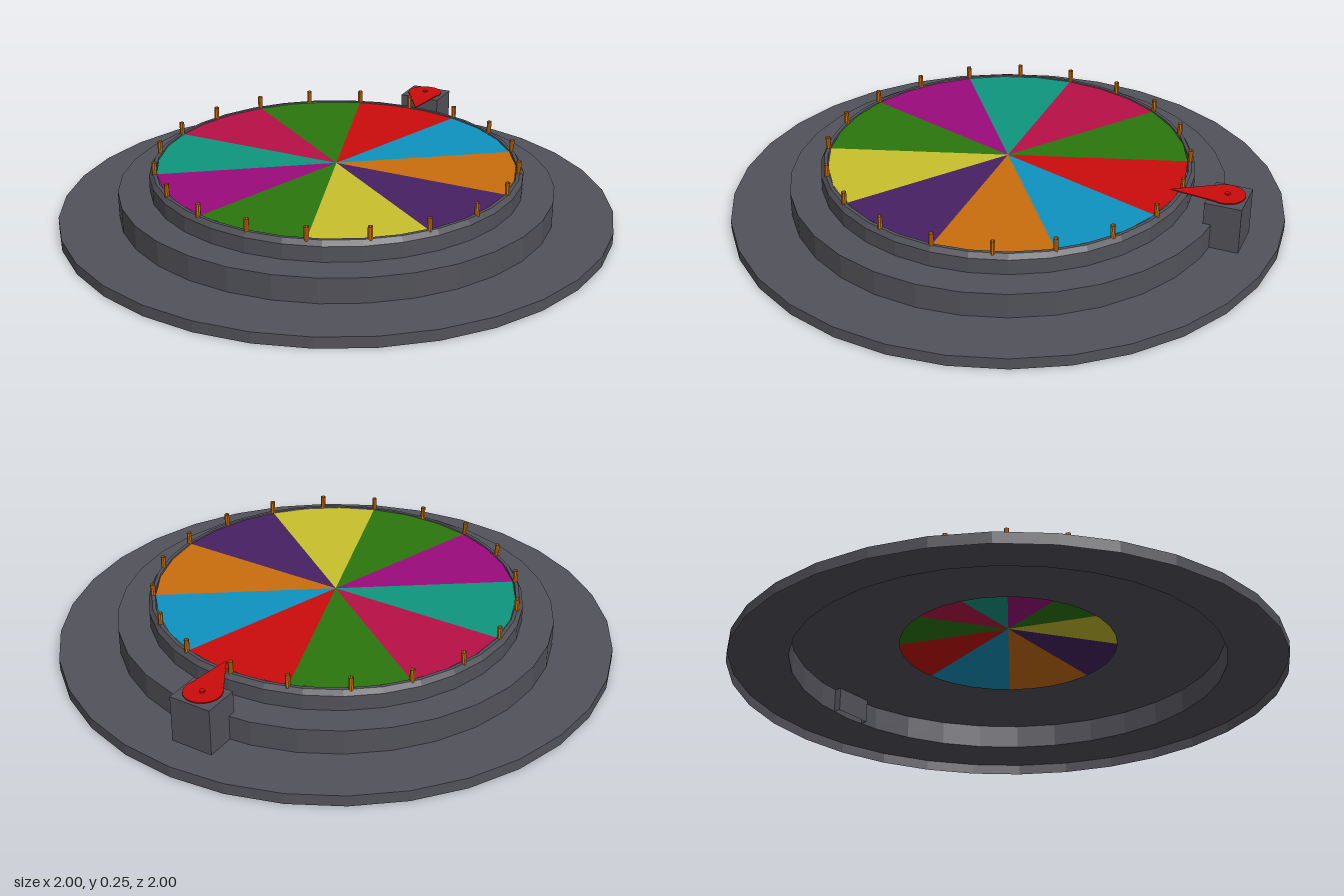
import * as THREE from 'three';

const paint = (name, color) =>
  new THREE.MeshStandardMaterial({ name, color, side: THREE.DoubleSide, flatShading: true });

export function createModel() {
  const model = new THREE.Group();
  model.name = 'prizeWheel';

  const grey = paint('darkGrey', 0x52525a);
  const red = paint('red', 0xcc0c0c);
  const blue = paint('blue', 0x0e92c0);
  const orange = paint('orange', 0xc96e0d);
  const purple = paint('purple', 0x472063);
  const yellow = paint('yellow', 0xc8c02c);
  const green = paint('green', 0x2c760e);
  const magenta = paint('magenta', 0x9b0b7c);
  const teal = paint('teal', 0x0f967e);
  const crimson = paint('crimson', 0xb80f45);

  const add = (name, geometry, material, parent = model) => {
    const mesh = new THREE.Mesh(geometry, material);
    mesh.name = name;
    parent.add(mesh);
    return mesh;
  };
  const lathe = (points) =>
    new THREE.LatheGeometry(points.map(([r, y]) => new THREE.Vector2(r, y)), 32);

  // Hollow stepped base, open underneath, with a round hole in the upper step
  add('base', lathe([[1, 0], [1, 0.04], [0.785, 0.04], [0.785, 0.13], [0.395, 0.13]]), grey);

  // Raised wheel rim with a bevelled lip and a ledge under the wedges
  add('wheelRim', lathe([
    [0.672, 0.13], [0.672, 0.185], [0.66, 0.203], [0.648, 0.203], [0.646, 0.196], [0.6, 0.196],
  ]), grey);

  // Ten coloured wedges, clockwise from the back
  const wedges = new THREE.Group();
  wedges.name = 'wedges';
  model.add(wedges);
  const step = Math.PI / 5;
  [red, blue, orange, purple, yellow, green, magenta, teal, crimson, green].forEach((mat, i) => {
    const geo = new THREE.CircleGeometry(0.645, 2, step * (2 - i), step);
    geo.rotateX(-Math.PI / 2).translate(0, 0.2, 0);
    add(`${mat.name}Wedge`, geo, mat, wedges);
  });

  // Twenty open pegs around the rim
  const pegs = new THREE.Group();
  pegs.name = 'pegs';
  model.add(pegs);
  const pegGeo = new THREE.CylinderGeometry(0.009, 0.009, 0.05, 8, 1, true);
  for (let i = 0; i < 20; i++) {
    const a = (i * Math.PI) / 10;
    add('peg', pegGeo, orange, pegs)
      .position.set(0.653 * Math.sin(a), 0.221, 0.653 * Math.cos(a));
  }

  // Pointer post: a box without its bottom face
  const post = new THREE.BoxGeometry(0.155, 0.17, 0.13);
  const index = Array.from(post.index.array);
  index.splice(18, 6);
  post.setIndex(index);
  post.clearGroups();
  add('pointerPost', post, grey).position.set(0, 0.125, -0.815);

  // Flat teardrop pointer, drawn with the shape's y towards the back
  const outline = new THREE.Shape();
  outline.moveTo(0.04, 0.62);
  for (let i = 0; i <= 12; i++) {
    const a = -0.45 + (i / 12) * (Math.PI + 0.9);
    outline.lineTo(0.066 * Math.cos(a), 0.807 + 0.066 * Math.sin(a));
  }
  outline.closePath();
  const pointer = new THREE.ExtrudeGeometry(outline, { depth: 0.004, bevelEnabled: false });
  pointer.rotateX(-Math.PI / 2);
  add('pointer', pointer, red).position.y = 0.213;
  add('pointerPivot', new THREE.CylinderGeometry(0.01, 0.01, 0.01, 8), red)
    .position.set(0, 0.217, -0.81);

  return model;
}
